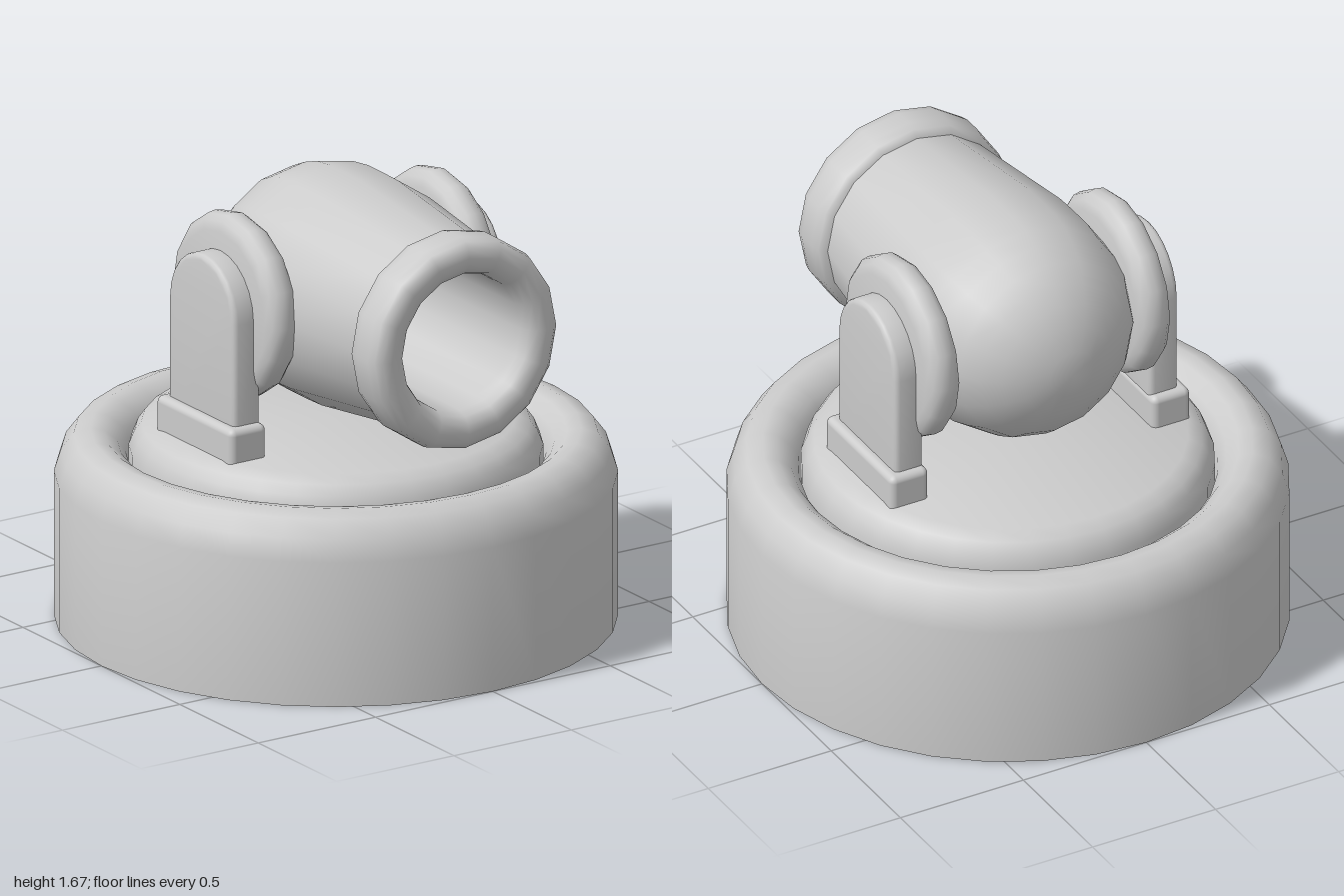
import * as THREE from 'three';
import { toCreasedNormals } from 'three/addons/utils/BufferGeometryUtils.js';
import { RoundedBoxGeometry } from 'three/addons/geometries/RoundedBoxGeometry.js';

const material = new THREE.MeshStandardMaterial({ color: 0xcccccc });
const AXIS_Y = 1.25; // height of the barrel and its pivots

function part(name, geometry, parent) {
  const mesh = new THREE.Mesh(geometry, material);
  mesh.name = name;
  parent.add(mesh);
  return mesh;
}

// Revolved profile of [radius, height] pairs, smooth with sharp corners kept
function turned(profile, sides) {
  const points = profile.map(([r, h]) => new THREE.Vector2(r, h));
  return toCreasedNormals(new THREE.LatheGeometry(points, sides), 0.85);
}

// Upright plate with a semicircular top, lying in the yz plane
function archGeometry() {
  const bevel = 0.02, r = 0.21 - bevel, bottom = 0.8 - AXIS_Y;
  const shape = new THREE.Shape();
  shape.moveTo(-r, bottom);
  shape.lineTo(r, bottom);
  shape.lineTo(r, 0);
  shape.absarc(0, 0, r, 0, Math.PI, false);
  shape.closePath();
  const geometry = new THREE.ExtrudeGeometry(shape, {
    depth: 0.075, curveSegments: 6, bevelEnabled: true,
    bevelSize: bevel, bevelThickness: bevel, bevelSegments: 3,
  });
  geometry.translate(0, 0, -0.0375);
  return toCreasedNormals(geometry.rotateY(Math.PI / 2), 0.7);
}

export function createModel() {
  const model = new THREE.Group();
  model.name = 'turret';

  // Round base: straight wall, rolled rim, groove
  part('base', turned([
    [0, 0], [1, 0], [1, 0.54], [0.975, 0.62], [0.93, 0.68], [0.87, 0.7],
    [0.82, 0.69], [0.775, 0.655], [0.745, 0.61], [0.735, 0.56], [0.7, 0.56],
  ], 32), model);

  // Turntable with a softened edge
  part('turntable', turned([
    [0.735, 0.55], [0.735, 0.64], [0.715, 0.69], [0.69, 0.725], [0.64, 0.75], [0, 0.75],
  ], 32), model);

  // Barrel: round breech tapering to a thick hollow muzzle
  const barrel = new THREE.Group();
  barrel.name = 'barrel';
  barrel.position.y = AXIS_Y;
  barrel.rotation.x = Math.PI / 2;
  model.add(barrel);
  part('barrelBody', turned([
    [0, -0.47], [0.09, -0.46], [0.18, -0.43], [0.245, -0.39], [0.305, -0.34],
    [0.355, -0.275], [0.39, -0.2], [0.415, -0.125], [0.425, -0.04],
    [0.425, 0.06], [0.423, 0.15], [0.36, 0.68],
  ], 16), barrel);
  part('muzzleAndBore', turned([
    [0.34, 0.655], [0.37, 0.66], [0.388, 0.68], [0.395, 0.72], [0.395, 0.79],
    [0.387, 0.825], [0.365, 0.845], [0.33, 0.85], [0.295, 0.845], [0.27, 0.825],
    [0.257, 0.79], [0.255, 0.74], [0.255, 0.1], [0.235, 0], [0.18, -0.08],
    [0.1, -0.135], [0, -0.155],
  ], 16), barrel);

  const hubProfile = [
    [0, 0.35], [0.28, 0.365], [0.315, 0.375], [0.335, 0.4], [0.34, 0.43],
    [0.335, 0.46], [0.315, 0.482], [0.28, 0.492], [0, 0.492],
  ];

  // Mirrored pivot hubs, supports and feet
  for (const side of [1, -1]) {
    const mount = new THREE.Group();
    mount.name = side > 0 ? 'leftMount' : 'rightMount';
    mount.rotation.y = side > 0 ? 0 : Math.PI;
    model.add(mount);

    const hub = part('pivotHub', turned(hubProfile, 16), mount);
    hub.rotation.z = -Math.PI / 2;
    hub.position.y = AXIS_Y;

    const support = part('support', archGeometry(), mount);
    support.position.set(0.518, AXIS_Y, 0);

    const foot = part('foot', new RoundedBoxGeometry(0.155, 0.16, 0.485, 3, 0.025), mount);
    foot.position.set(0.532, 0.793, 0);
  }

  return model;
}
